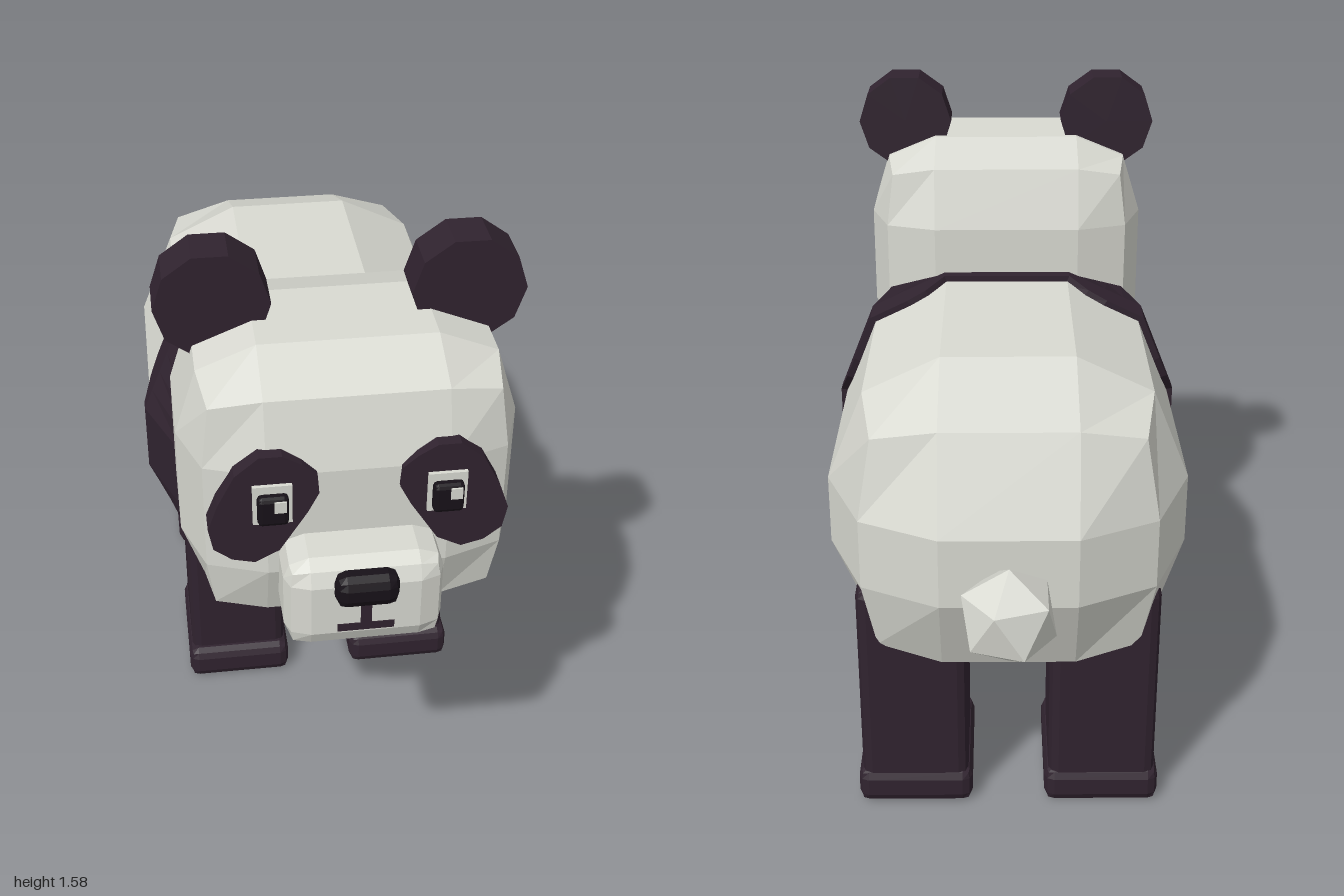
import * as THREE from 'three';

const furWhite = new THREE.MeshStandardMaterial({ color: 0xd9dad2 });
const furDark = new THREE.MeshStandardMaterial({ color: 0x30232f });
const eyeBlack = new THREE.MeshStandardMaterial({ color: 0x171118 });
furWhite.name = 'white fur';
furDark.name = 'dark fur';
eyeBlack.name = 'eye black';

// Flat facets: every triangle keeps its own normal
function facet(geometry) {
  const g = geometry.index ? geometry.toNonIndexed() : geometry;
  g.computeVertexNormals();
  return g;
}

function add(parent, name, geometry, material, x = 0, y = 0, z = 0) {
  const mesh = new THREE.Mesh(geometry, material);
  mesh.name = name;
  mesh.position.set(x, y, z);
  parent.add(mesh);
  return mesh;
}

// Box of 3x3 panels per side; each axis lists [min, innerMin, innerMax, max],
// and inset pulls in the edges, corners a little more
function puffBox(axes, inset, cornerPull = 1.35) {
  const g = new THREE.BoxGeometry(3, 3, 3, 3, 3, 3);
  const p = g.attributes.position;
  for (let i = 0; i < p.count; i++) {
    const steps = [p.getX(i), p.getY(i), p.getZ(i)].map((v) => Math.round(v + 1.5));
    const outer = steps.filter((s) => s === 0 || s === 3).length;
    const pull = [0, 0, 1, cornerPull][outer];
    const v = steps.map((s, k) => {
      const d = s === 0 ? 1 : s === 3 ? -1 : 0;
      return axes[k][s] + d * inset[k] * pull;
    });
    p.setXYZ(i, ...v);
  }
  return facet(g);
}

// Centred box with narrow bevels
function bevelBox(w, h, d, r) {
  const axes = [w, h, d].map((s) => [-s / 2, -s / 2 + r, s / 2 - r, s / 2]);
  const k = r * 0.3;
  return puffBox(axes, [k, k, k]);
}

// Twelve-sided outline, counter-clockwise from the front, each side split in four
const INNER = { x: 0.165, lo: 0.64, hi: 0.83 };
function outline(X, edgeX, lo, edgeLo, edgeHi, hi) {
  const c = [
    [X, INNER.hi], [edgeX, edgeHi], [INNER.x, hi], [-INNER.x, hi], [-edgeX, edgeHi], [-X, INNER.hi],
    [-X, INNER.lo], [-edgeX, edgeLo], [-INNER.x, lo], [INNER.x, lo], [edgeX, edgeLo], [X, INNER.lo],
  ];
  const pts = [];
  c.forEach(([x, y], i) => {
    const [nx, ny] = c[(i + 1) % 12];
    for (let k = 0; k < 4; k++) {
      const t = k / 4;
      // scallop is strongest near the rounded edges of the body
      const w = [[0, 0.75, 1, 1], [1, 1, 1, 0.75], [0, 0, 0, 0]][i % 3][k];
      pts.push({ x: x + (nx - x) * t, y: y + (ny - y) * t, w });
    }
  });
  return pts;
}

// Dark chest: lofted from the scalloped hem to the front panel
function chestGeometry() {
  const full = outline(0.452, 0.36, 0.338, 0.42, 1.06, 1.155);
  const front = outline(0.36, 0.325, 0.43, 0.455, 1.03, 1.07);
  const clamp = THREE.MathUtils.clamp;
  const rings = [
    full.map((p) => [p.x * 0.94, 0.745 + (p.y - 0.745) * 0.94, -0.01 - 0.06 * p.w]),
    full.map((p) => [p.x, p.y, -0.01 - 0.06 * p.w]),
    full.map((p) => [p.x, p.y, 0.02]),
    front.map((p) => [p.x, p.y, 0.25]),
    front.map((p) => [clamp(p.x, -INNER.x, INNER.x), clamp(p.y, INNER.lo, INNER.hi), 0.335]),
    front.map(() => [0, 0.735, 0.335]),
  ];
  const n = full.length;
  const index = [];
  for (let r = 0; r < rings.length - 1; r++) {
    for (let j = 0; j < n; j++) {
      const a = r * n + j;
      const b = r * n + ((j + 1) % n);
      index.push(a, b, b + n, a, b + n, a + n);
    }
  }
  const g = new THREE.BufferGeometry();
  g.setAttribute('position', new THREE.Float32BufferAttribute(rings.flat(2), 3));
  g.setIndex(index);
  return facet(g);
}

// Drooping eye patch, drawn for the +x side
const PATCH = [
  [0.125, 1.233], [0.167, 1.258], [0.217, 1.258], [0.27, 1.213], [0.308, 1.138], [0.33, 1.075], [0.32, 1.02],
  [0.28, 0.988], [0.23, 0.975], [0.175, 1.004], [0.113, 1.104], [0.088, 1.154], [0.092, 1.204],
];
function patchGeometry(side) {
  const shape = new THREE.Shape(PATCH.map(([x, y]) => new THREE.Vector2(x * side, y)));
  return facet(new THREE.ExtrudeGeometry(shape, { depth: 0.06, bevelEnabled: false }));
}

export function createModel() {
  const model = new THREE.Group();
  model.name = 'bear';

  // Body and chest
  add(model, 'body', puffBox(
    [[-0.436, -0.16, 0.16, 0.436], [0.35, 0.65, 0.825, 1.14], [-0.83, -0.52, 0.02, 0.31]],
    [0.09, 0.09, 0.09]), furWhite);
  add(model, 'chest', chestGeometry(), furDark);

  // Tail
  const tail = add(model, 'tail', facet(new THREE.IcosahedronGeometry(0.12, 0)), furWhite, 0, 0.67, -0.893);
  tail.rotation.z = -Math.atan(1 / ((1 + Math.sqrt(5)) / 2));
  const stub = add(model, 'tailStub', facet(new THREE.CylinderGeometry(0.03, 0.03, 0.1, 6)), furWhite, 0, 0.7, -0.82);
  stub.rotation.x = Math.PI / 2;

  // Legs and feet
  for (const side of [1, -1]) {
    for (const [name, z] of [['front', 0.04], ['hind', -0.565]]) {
      const leg = new THREE.Group();
      leg.name = `${name}${side > 0 ? 'Left' : 'Right'}Leg`;
      leg.position.set(side * 0.233, 0, z);
      add(leg, 'shin', bevelBox(0.265, 0.58, 0.295, 0.025), furDark, 0, 0.33, 0);
      add(leg, 'foot', bevelBox(0.285, 0.095, 0.335, 0.025), furDark, 0, 0.0475, 0.012);
      model.add(leg);
    }
  }

  // Head
  const head = new THREE.Group();
  head.name = 'head';
  model.add(head);
  add(head, 'skull', puffBox(
    [[-0.384, -0.2, 0.2, 0.384], [0.73, 0.93, 1.2, 1.415], [0.24, 0.43, 0.655, 0.838]],
    [0.05, 0.055, 0.045]), furWhite);
  add(head, 'muzzle', puffBox(
    [[-0.176, -0.12, 0.12, 0.176], [0.805, 0.855, 0.985, 1.035], [0.76, 0.82, 0.92, 0.968]],
    [0.013, 0.015, 0.015]), furWhite);
  add(head, 'nose', bevelBox(0.14, 0.078, 0.07, 0.025), eyeBlack, 0, 0.982, 0.965);
  add(head, 'mouthLine', new THREE.BoxGeometry(0.024, 0.09, 0.008), furDark, 0, 0.915, 0.968);
  add(head, 'mouth', new THREE.BoxGeometry(0.125, 0.02, 0.008), furDark, 0, 0.87, 0.966);

  for (const side of [1, -1]) {
    const x = side * 0.19;
    const ear = add(head, 'ear',
      facet(new THREE.CylinderGeometry(0.13, 0.13, 0.108, 10, 1, false, Math.PI / 2)),
      furDark, side * 0.286, 1.455, 0.502);
    ear.rotation.x = Math.PI / 2;
    add(head, 'eyePatch', patchGeometry(side), furDark, 0, 0, 0.79);
    add(head, 'eyeWhite', new THREE.BoxGeometry(0.086, 0.1, 0.009), furWhite, x, 1.138, 0.855);
    add(head, 'pupil', bevelBox(0.068, 0.074, 0.03, 0.01), eyeBlack, x, 1.133, 0.867);
    add(head, 'eyeGlint', new THREE.BoxGeometry(0.026, 0.028, 0.006), furWhite, x + 0.015, 1.149, 0.882);
  }
  return model;
}
